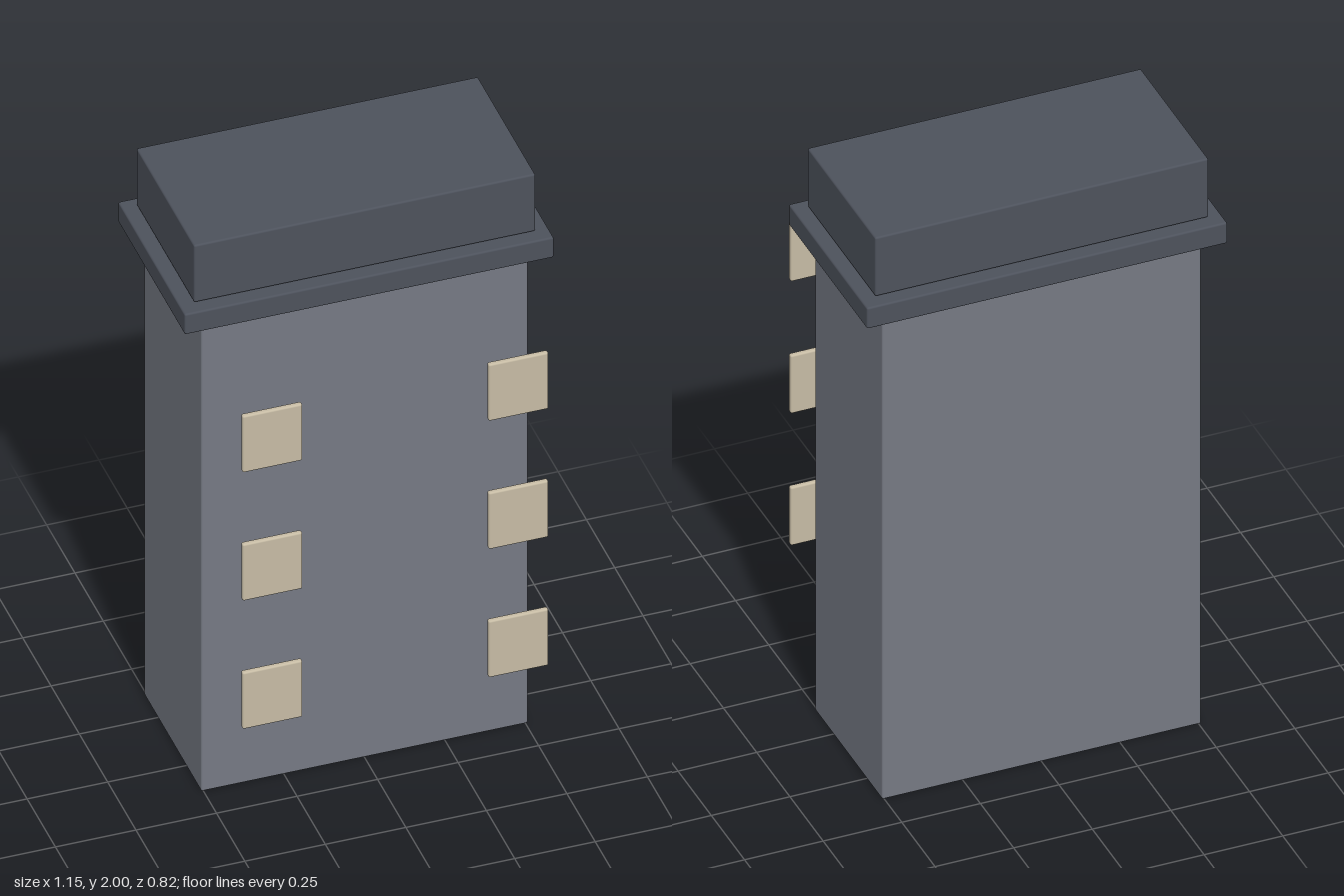
import * as THREE from 'three';
import { RoundedBoxGeometry } from 'three/addons/geometries/RoundedBoxGeometry.js';

const wall = new THREE.MeshStandardMaterial({ name: 'wall grey', color: 0x757983 });
const roofing = new THREE.MeshStandardMaterial({ name: 'roof dark grey', color: 0x4d525c });
const pane = new THREE.MeshStandardMaterial({ name: 'window beige', color: 0xc6bba4 });

// Box with softened edges, given by its size and centre
function block(name, material, [w, h, d], [x, y, z], bevel = 0.006) {
  const mesh = new THREE.Mesh(new RoundedBoxGeometry(w, h, d, 2, bevel), material);
  mesh.name = name;
  mesh.position.set(x, y, z);
  return mesh;
}

export function createModel() {
  const model = new THREE.Group();
  model.name = 'towerBlock';
  const z = -0.117;

  // Main body, overhanging ledge and roof block, with narrow gaps between
  model.add(block('body', wall, [1.014, 1.7, 0.506], [0, 0.851, z]));
  model.add(block('ledge', roofing, [1.146, 0.074, 0.59], [0, 1.75, z]));
  model.add(block('roof', roofing, [1.06, 0.208, 0.51], [0, 1.896, z]));

  // Two columns of window plates standing in front of the body
  const windows = new THREE.Group();
  windows.name = 'windows';
  for (const side of [-1, 1]) {
    for (const y of [0.515, 0.983, 1.451]) {
      windows.add(block('window', pane, [0.186, 0.206, 0.018], [side * 0.382, y, 0.402]));
    }
  }
  model.add(windows);
  return model;
}
